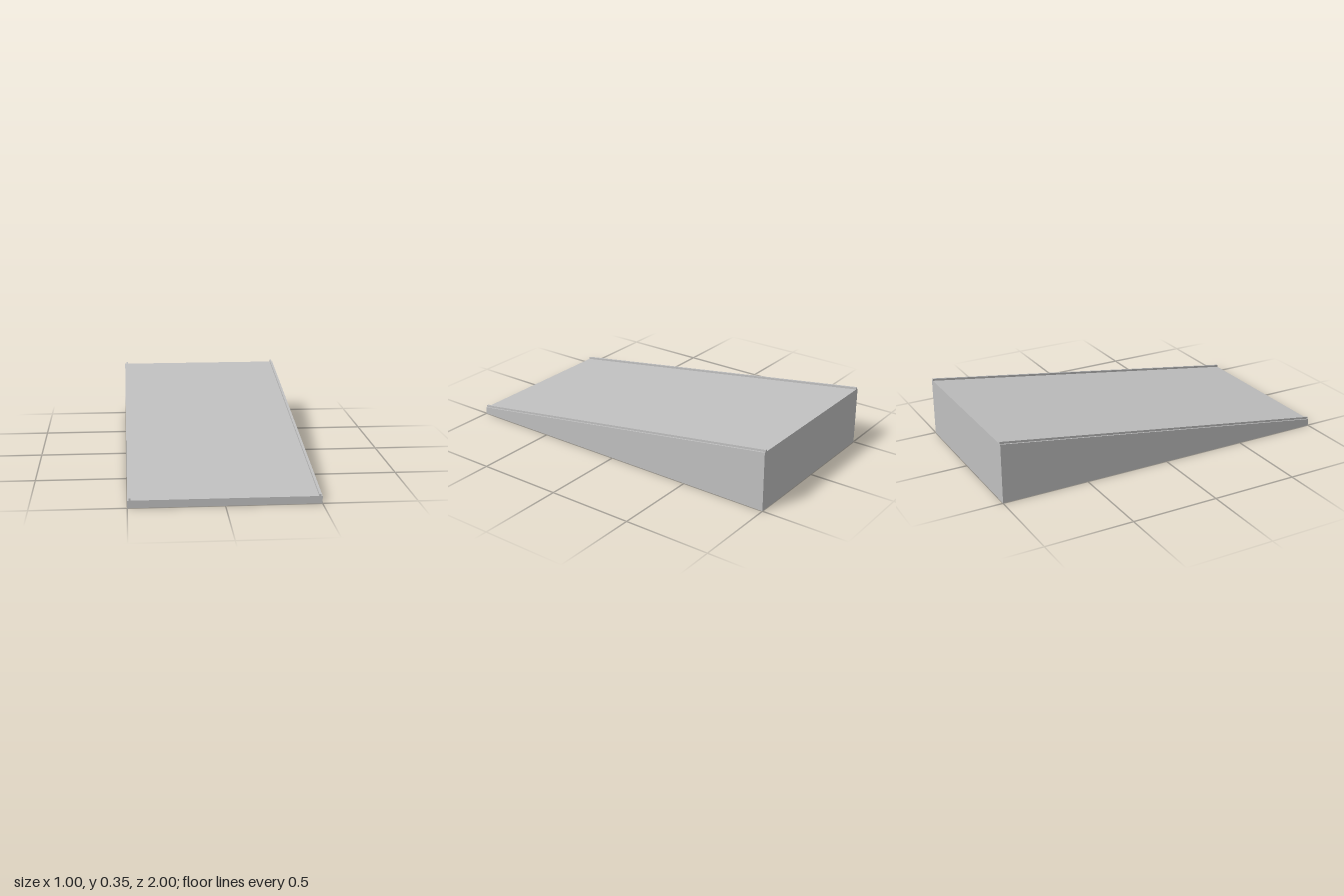
import * as THREE from 'three';

// Extrude a side profile of [z, y] points across x, centred on x = 0
function sideExtrusion(points, width) {
  const shape = new THREE.Shape(points.map(([z, y]) => new THREE.Vector2(z, y)));
  const geometry = new THREE.ExtrudeGeometry(shape, { depth: width, bevelEnabled: false });
  geometry.translate(0, 0, -width / 2);
  geometry.rotateY(-Math.PI / 2);
  return geometry;
}

export function createModel() {
  const model = new THREE.Group();
  model.name = 'ramp';
  const grey = new THREE.MeshStandardMaterial({ color: 0xc0c0c0 });
  grey.name = 'light grey';

  const low = 0.04, high = 0.34, railHeight = 0.012;

  // Solid wedge, low at the front and high at the back
  const wedge = new THREE.Mesh(
    sideExtrusion([[1, 0], [1, low], [-1, high], [-1, 0]], 1), grey);
  wedge.name = 'wedge';
  model.add(wedge);

  // Thin raised rails following the slope, just inside each edge
  const railProfile = [[1, low], [1, low + railHeight], [-1, high + railHeight], [-1, high]];
  for (const [side, name] of [[1, 'leftRail'], [-1, 'rightRail']]) {
    const rail = new THREE.Mesh(sideExtrusion(railProfile, 0.01), grey);
    rail.position.x = side * 0.487;
    rail.name = name;
    model.add(rail);
  }
  return model;
}
